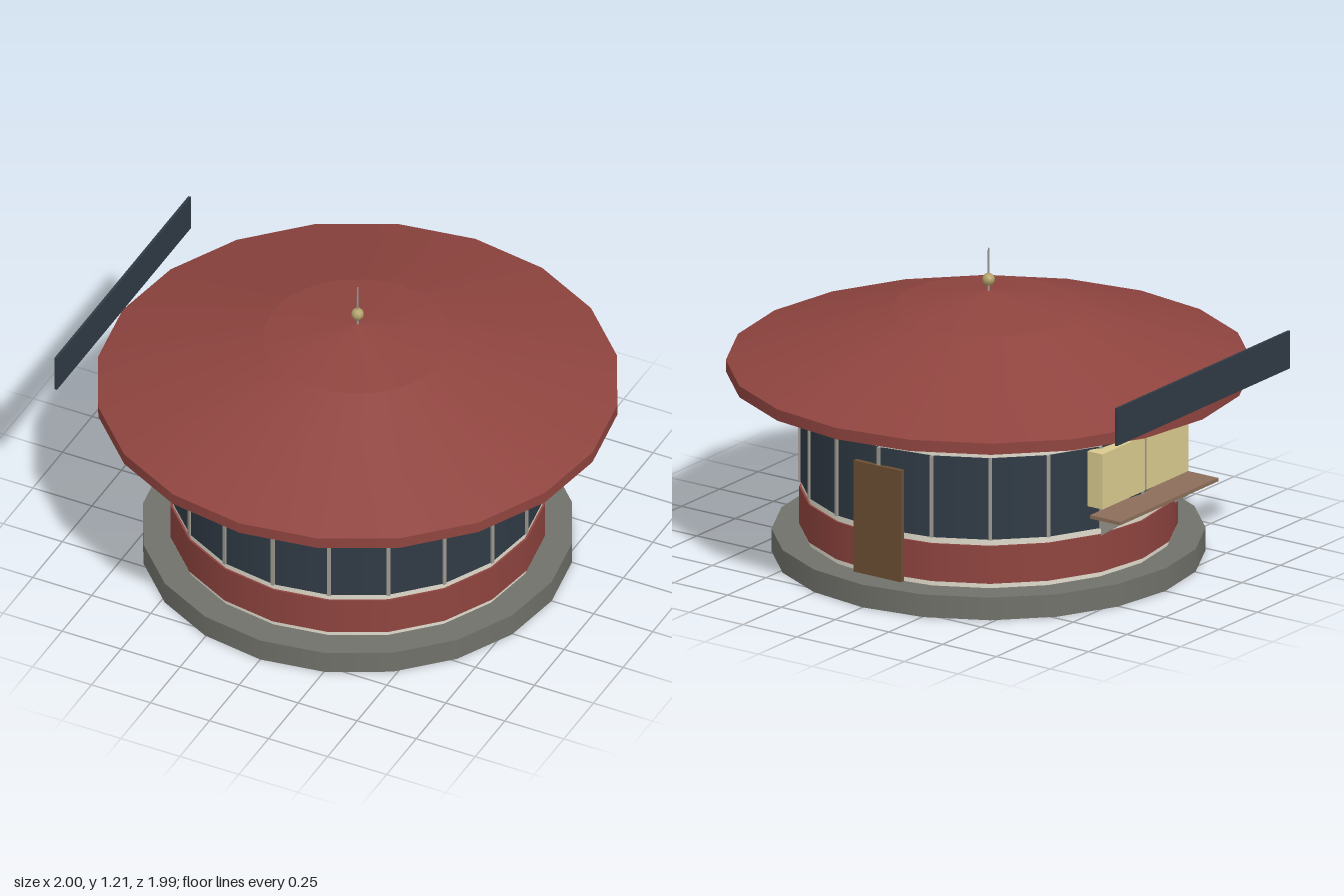
import * as THREE from 'three';

const SIDES = 20;
const paint = (name, color, extra = {}) => {
  const m = new THREE.MeshStandardMaterial({ color, ...extra });
  m.name = name;
  return m;
};

export function createModel() {
  const red = paint('red', 0x8f443f);
  const cream = paint('cream', 0xe0dbcc);
  const glass = paint('dark glass', 0x303b45);
  const concrete = paint('concrete', 0x70716a);
  const soffitGrey = paint('soffit grey', 0x8e8e8c);
  const metal = paint('metal', 0x9c9890);
  const yellow = paint('pale yellow', 0xd8ca8e);
  const doorWood = paint('door wood', 0x6c4e32);
  const shelfWood = paint('shelf wood', 0x8c6e5a);
  const gold = paint('gold', 0xb5a36c);

  const model = new THREE.Group();
  model.name = 'roundKiosk';

  const add = (name, geometry, material, x = 0, y = 0, z = 0) => {
    const mesh = new THREE.Mesh(geometry, material);
    mesh.name = name;
    mesh.position.set(x, y, z);
    model.add(mesh);
    return mesh;
  };
  // Ring or drum between two heights
  const drum = (name, material, rBottom, rTop, y0, y1, open = false) =>
    add(name, new THREE.CylinderGeometry(rTop, rBottom, y1 - y0, SIDES, 1, open), material, 0, (y0 + y1) / 2, 0);
  const box = (name, material, w, h, d, x, y, z) =>
    add(name, new THREE.BoxGeometry(w, h, d), material, x, y, z);

  // Base and round walls
  drum('base', concrete, 0.822, 0.822, 0, 0.09);
  drum('wall', cream, 0.709, 0.709, 0.09, 0.72);
  drum('lowerBand', red, 0.717, 0.717, 0.11, 0.26);
  drum('windowBand', glass, 0.714, 0.714, 0.285, 0.61);

  // Window mullions, one at every corner
  for (let i = 0; i < SIDES; i++) {
    const a = (i / SIDES) * Math.PI * 2;
    const bar = box('mullion', metal, 0.014, 0.325, 0.014, Math.sin(a) * 0.714, 0.4475, Math.cos(a) * 0.714);
    bar.rotation.y = a;
  }

  // Roof: rim, main slope, shallow cap and underside
  drum('roofRim', red, 0.995, 0.995, 0.72, 0.765, true);
  drum('roofSlope', red, 0.995, 0.36, 0.765, 0.978, true);
  drum('roofCap', red, 0.36, 0, 0.978, 1.04, true);
  const soffit = add('soffit', new THREE.CircleGeometry(0.995, SIDES), soffitGrey, 0, 0.72, 0);
  soffit.rotation.x = Math.PI / 2;

  // Finial
  add('finialSpike', new THREE.CylinderGeometry(0.003, 0.005, 0.18, 8), metal, 0, 1.12, 0);
  add('finialBall', new THREE.SphereGeometry(0.025, 8, 6), gold, 0, 1.085, 0);

  // Back door
  box('door', doorWood, 0.22, 0.445, 0.02, 0, 0.3175, -0.716);

  // Serving hatch on the right side, with a thin divider
  box('servingHatch', yellow, 0.07, 0.22, 0.56, -0.695, 0.495, 0);
  box('hatchDivider', metal, 0.004, 0.22, 0.006, -0.731, 0.495, 0);
  box('counter', shelfWood, 0.14, 0.014, 0.64, -0.77, 0.361, 0);

  // Triangular counter brackets
  const triangle = new THREE.Shape([
    new THREE.Vector2(-0.825, 0.354),
    new THREE.Vector2(-0.7, 0.265),
    new THREE.Vector2(-0.7, 0.354),
  ]);
  for (const z of [-0.24, 0.24])
    add('counterBracket', new THREE.ExtrudeGeometry(triangle, { depth: 0.016, bevelEnabled: false }),
      metal, 0, 0, z - 0.008);

  // Blank sign board at the eave
  box('signBoard', glass, 0.01, 0.15, 1.13, -0.995, 0.845, 0);

  return model;
}
